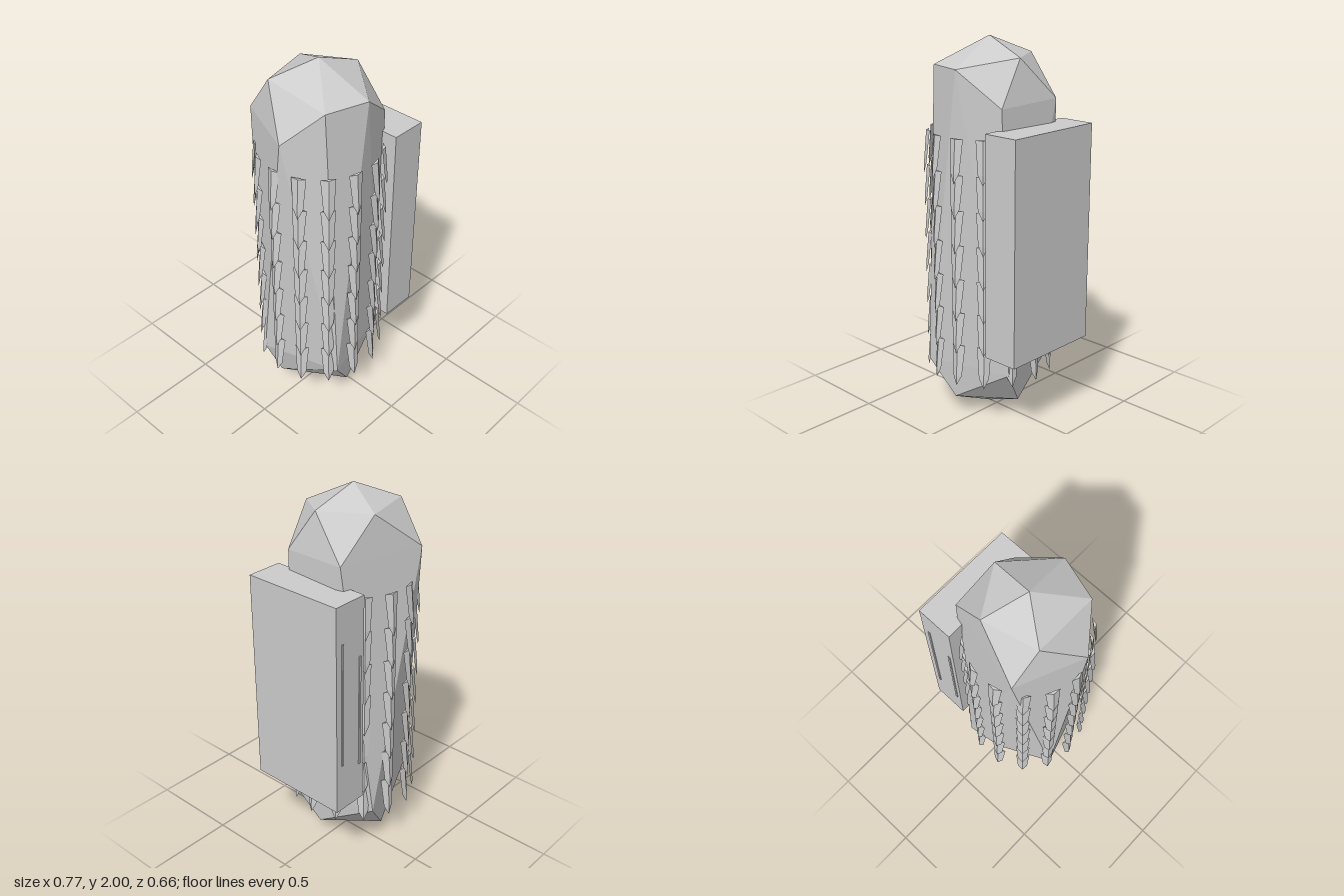
import * as THREE from 'three';
import { ConvexGeometry } from 'three/addons/geometries/ConvexGeometry.js';

const material = new THREE.MeshStandardMaterial({ color: 0xcccccc, flatShading: true });

function faceted(points) {
  return new ConvexGeometry(points.map((p) => new THREE.Vector3(...p)));
}

function addMesh(parent, name, geometry) {
  const mesh = new THREE.Mesh(geometry, material);
  mesh.name = name;
  parent.add(mesh);
  return mesh;
}

function addBox(parent, name, size, centre) {
  addMesh(parent, name, new THREE.BoxGeometry(...size)).position.set(...centre);
}

export function createModel() {
  const group = new THREE.Group();

  // Irregular faceted body: apex, rings and lower point
  addMesh(group, 'body', faceted([
    [-0.05, 2, 0],
    [-0.24, 1.91, -0.14], [0.04, 1.91, -0.21], [0.185, 1.91, 0.03],
    [-0.01, 1.86, 0.275], [-0.23, 1.86, 0.21],
    [-0.365, 1.69, 0.05], [-0.22, 1.7, -0.293], [0.24, 1.7, -0.175], [0.213, 1.685, 0.187],
    [0.24, 0.3, 0.16], [0.12, 0.29, -0.293], [-0.35, 0.3, -0.13], [-0.22, 0.3, 0.29],
    [-0.08, 0.1, 0.235], [0.185, 0.1, 0.03], [-0.03, 0.1, -0.23], [-0.28, 0.1, -0.08],
    [-0.05, 0, 0],
  ]));

  // Rectangular pack on the left side, with two thin strips on its back
  const pack = new THREE.Group();
  pack.name = 'sidePack';
  group.add(pack);
  addBox(pack, 'packBox', [0.195, 1.15, 0.56], [0.289, 1.005, 0]);
  addBox(pack, 'outerStrip', [0.012, 0.68, 0.008], [0.345, 1.04, -0.281]);
  addBox(pack, 'innerStrip', [0.012, 0.62, 0.008], [0.22, 0.96, -0.281]);

  // Pointed scales, tilted outward towards the tip
  const scale = faceted([
    [-0.037, 0, 0.307], [0.037, 0, 0.307], [0, 0, 0.322],
    [-0.026, -0.165, 0.326], [0.026, -0.165, 0.326],
    [0, -0.17, 0.337], [0, -0.22, 0.337],
  ]);
  const scales = new THREE.Group();
  scales.name = 'scales';
  group.add(scales);
  const columns = 14;
  for (let row = 0; row < 7; row++) {
    for (let i = 0; i < columns; i++) {
      const mesh = addMesh(scales, 'scale', scale);
      mesh.position.set(-0.05, 1.535 - row * 0.18, 0);
      mesh.rotation.y = Math.PI / 2 + (i / columns) * Math.PI * 2;
    }
  }

  return group;
}
